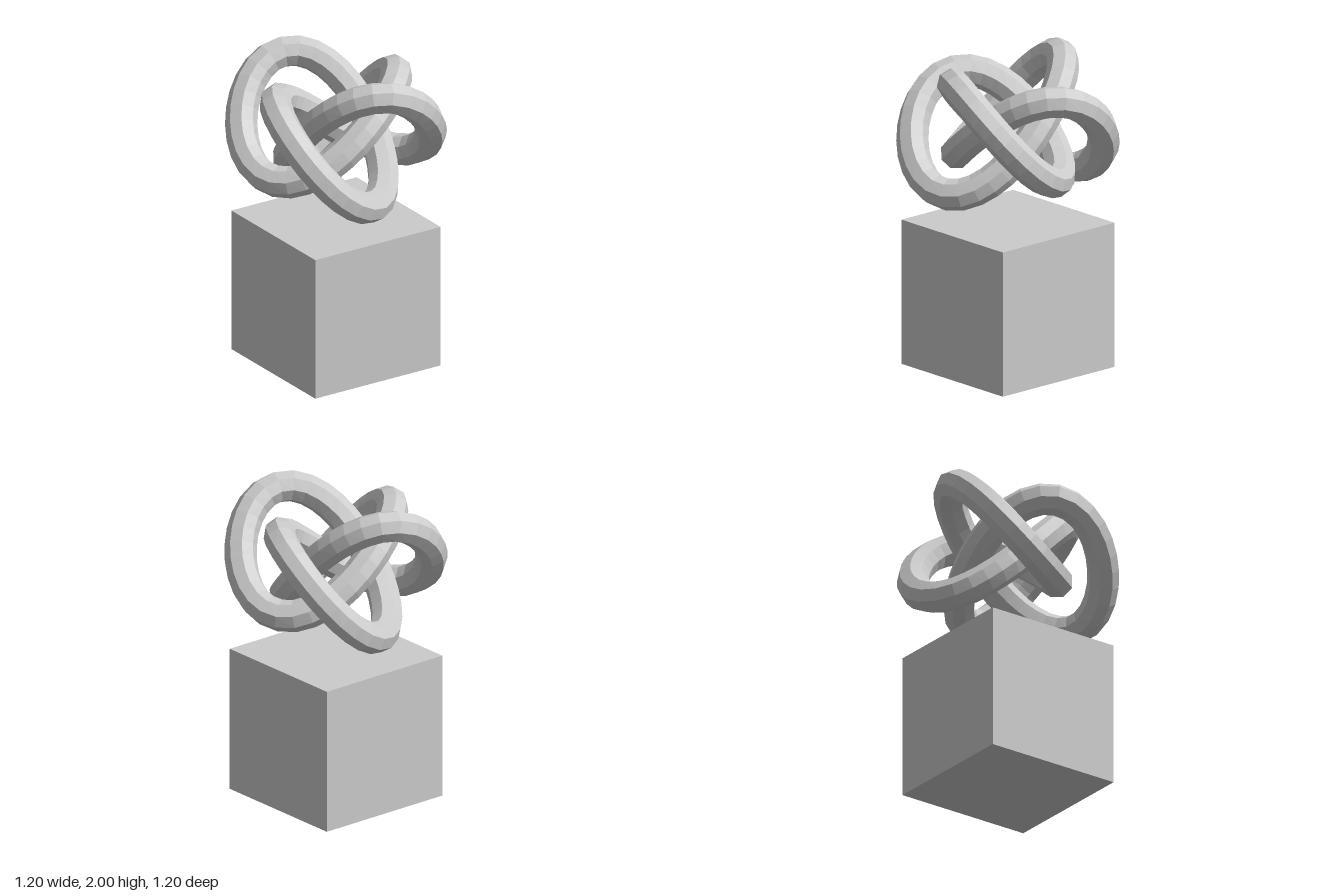
import * as THREE from 'three';

// Closed four-lobed knot: three turns about y, over and under at each lobe
class KnotCurve extends THREE.Curve {
  getPoint(u, target = new THREE.Vector3()) {
    const t = u * Math.PI * 2, c = Math.PI / 4;
    return target.set(
      0.415 * Math.cos(3 * t + c) + 0.175 * Math.cos(c - t),
      0.305 * Math.sin(4 * t) + 0.07 * Math.cos(2 * t),
      0.415 * Math.sin(3 * t + c) + 0.175 * Math.sin(c - t)
    );
  }
}

export function createModel() {
  const group = new THREE.Group();
  const material = new THREE.MeshStandardMaterial({ color: 0xcccccc, flatShading: true });

  // Cube plinth
  const size = 0.93;
  const plinth = new THREE.Mesh(new THREE.BoxGeometry(size, size, size), material);
  plinth.name = 'plinth';
  plinth.position.y = size / 2;
  group.add(plinth);

  // Faceted knot floating above the plinth
  const knot = new THREE.Mesh(new THREE.TubeGeometry(new KnotCurve(), 100, 0.1, 8, true), material);
  knot.name = 'knot';
  knot.position.y = 1.545;
  group.add(knot);

  return group;
}
